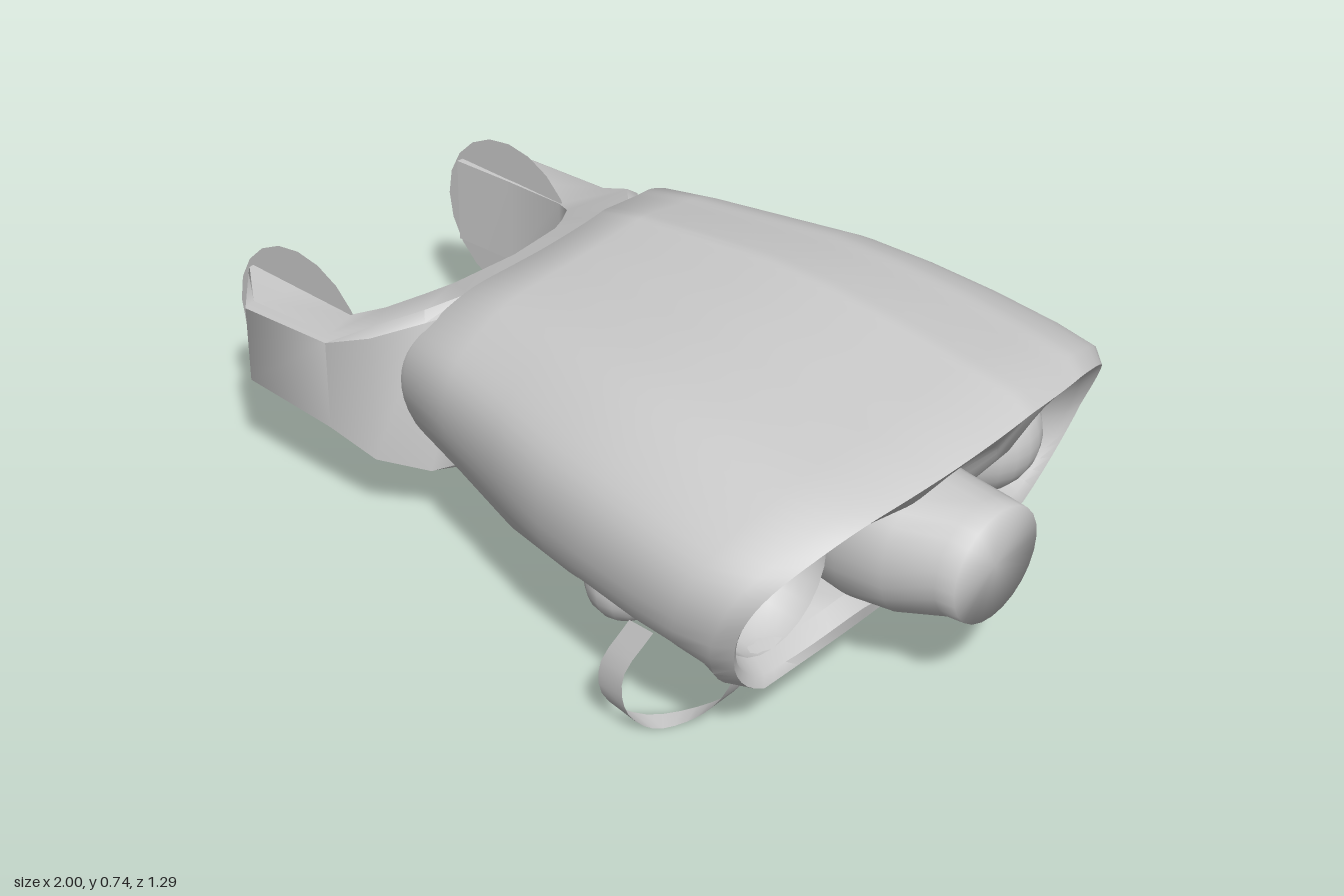
import * as THREE from 'three';
import { toCreasedNormals } from 'three/addons/utils/BufferGeometryUtils.js';

const { smoothstep, mapLinear, clamp } = THREE.MathUtils;
const grey = new THREE.MeshStandardMaterial({ color: 0xcccccc });
const thin = new THREE.MeshStandardMaterial({ color: 0xcccccc, side: THREE.DoubleSide });

function add(group, name, geometry, material = grey, position = [0, 0, 0]) {
  const mesh = new THREE.Mesh(geometry, material);
  mesh.name = name;
  mesh.position.set(...position);
  group.add(mesh);
  return mesh;
}

// Skin a list of closed rings and close both ends with a fan
function loft(rings, crease) {
  const all = [centreRing(rings[0]), ...rings, centreRing(rings[rings.length - 1])];
  const n = rings[0].length, index = [];
  for (let i = 0; i < all.length - 1; i++) {
    for (let j = 0; j < n; j++) {
      const k = (j + 1) % n, a = i * n + j, d = i * n + k;
      index.push(a, a + n, d + n, a, d + n, d);
    }
  }
  const g = new THREE.BufferGeometry().setFromPoints(all.flat());
  g.setIndex(index);
  return toCreasedNormals(g, crease);
}

const centreRing = (ring) => {
  const c = ring.reduce((s, p) => s.add(p), new THREE.Vector3()).divideScalar(ring.length);
  return ring.map(() => c.clone());
};

// Each row pairs a unit outline point of the housing (z, y) with
// the point of the scalloped opening (z, y) it leads to
const profile = [
  [1, .17, .54, .37], [.94, .5, .51, .48], [.78, .73, .44, .55], [.6, .87, .36, .56],
  [.35, .93, .27, .525], [.2, .95, .2, .49], [.05, .97, .08, .525], [-.1, .985, -.05, .525],
  [-.2, .995, -.13, .48], [-.26, 1, -.17, .36], [-.34, .98, -.22, .36], [-.42, .955, -.25, .47],
  [-.55, .91, -.31, .545], [-.68, .86, -.41, .56], [-.92, .6, -.5, .5], [-1, .08, -.54, .39],
  [-.94, -.3, -.51, .29], [-.78, -.67, -.44, .25], [-.52, -.91, -.34, .25], [-.15, -1, -.1, .26],
  [.1, -.965, 0, .215], [.23, -.93, .12, .255], [.56, -.8, .33, .225], [.8, -.62, .45, .24],
  [.95, -.3, .51, .29],
];
const sample = (at) => new THREE.CatmullRomCurve3(
  profile.map((p) => new THREE.Vector3(p[at], p[at + 1], 0)), true).getPoints(100).slice(0, 100);
const outline = sample(0), opening = sample(2);

function housing() {
  // x, lean with height, sweep toward the sides, z range, y of bottom, middle and top, flat floor
  const stations = [
    [-.325, 0, -.09, -.49, .39, .17, .4, .63, 0],
    [-.295, 0, -.075, -.53, .415, .14, .41, .675, 0],
    [-.18, 0, -.03, -.56, .45, .10, .4, .70, 0],
    [.0, 0, 0, -.60, .51, .065, .395, .72, 0],
    [.2, 0, 0, -.64, .57, .04, .39, .74, 0],
    [.36, .02, 0, -.645, .60, .05, .395, .745, 0],
    [.52, .05, 0, -.65, .625, .075, .40, .735, .08],
    [.68, .09, -.03, -.65, .64, .085, .41, .715, .125],
    [.80, .11, -.05, -.635, .63, .07, .415, .70, .155],
    [.85, .11, -.06, -.60, .60, .065, .415, .675, .178],
  ];
  const rings = stations.map(([x, lean, sweep, z0, z1, y0, ym, y1, floor], s) => outline.map((p) => {
    const v = new THREE.Vector3(
      x + lean * p.y + sweep * p.x * p.x,
      Math.max(floor, ym + p.y * (p.y > 0 ? y1 - ym : ym - y0)),
      (z0 + z1) / 2 + p.x * (z1 - z0) / 2);
    // Shallow hollow under the front lower side
    if (s < 8) {
      const w = smoothstep(v.x, .12, .3) * (1 - smoothstep(v.x, .58, .72))
        * smoothstep(v.z, .2, .4) * (1 - smoothstep(v.y, .24, .35));
      v.z -= .07 * w;
      v.y += .01 * w;
    }
    return v;
  }));

  // Lip rolling inward to the scalloped opening, then the recess behind it
  const rim = rings[rings.length - 1];
  const edge = opening.map((p) =>
    new THREE.Vector3(.77 + .32 * (p.y - .4) - .05 * (p.x / .54) ** 2, p.y, p.x));
  const lip = rim.map((p, i) => {
    const v = p.clone().lerp(edge[i], .5);
    v.x += .018;
    return v;
  });
  const back = edge.map((p) => new THREE.Vector3(.5, p.y, p.z));
  return loft([...rings, lip, edge, back], .8);
}

function fork() {
  // Inner x, z and outer x, z, from the middle out to one tip
  const half = [
    [-.42, 0, -.30, 0],
    [-.45, .17, -.31, .25],
    [-.485, .23, -.35, .36],
    [-.54, .305, -.44, .45],
    [-.61, .35, -.56, .478],
    [-.78, .345, -.83, .482],
    [-.95, .335, -.945, .37],
  ];
  const flip = ([a, b, c, d]) => [a, -b, c, -d];
  // The height grows from the arms toward the housing
  const height = (x) => mapLinear(clamp(x, -.6, -.34), -.6, -.34, .113, .235);
  const rings = [...half.slice(1).reverse().map(flip), ...half].map(([xi, zi, xo, zo]) => {
    const at = (t, k) => {
      const x = xi + (xo - xi) * t;
      return new THREE.Vector3(x, .388 + k * height(x), zi + (zo - zi) * t);
    };
    return [at(.85, 1), at(1, .88), at(1, -.88), at(.85, -1), at(0, -1), at(0, 1)];
  });
  return loft(rings, .9);
}

// Thin loop whose width turns from x at one end to z at the other
function strap() {
  const pts = new THREE.CatmullRomCurve3([
    [.52, .31, .59], [.465, .18, .625], [.465, .08, .61], [.5, .012, .54],
    [.56, .02, .46], [.62, .08, .42], [.66, .19, .39],
  ].map((p) => new THREE.Vector3(...p))).getPoints(20);
  const index = [];
  for (let a = 0; a < 40; a += 2) index.push(a, a + 1, a + 3, a, a + 3, a + 2);
  const g = new THREE.BufferGeometry().setFromPoints(pts.flatMap((p, i) => {
    const turn = smoothstep(i, 5, 17);
    const side = new THREE.Vector3(.034 * (1 - turn), 0, .036 * turn);
    return [p.clone().sub(side), p.clone().add(side)];
  }));
  g.setIndex(index);
  g.computeVertexNormals();
  return g;
}

// Blunt barrel with a squared flank, facing +x
function barrel() {
  const stations = [[.5, .15, .14], [.72, .165, .165], [.84, .155, .15], [.95, .15, .14], [1, .145, .136]];
  const rings = stations.map(([x, rz, ry]) => Array.from({ length: 24 }, (_, j) => {
    const a = j / 24 * Math.PI * 2, c = Math.cos(a), s = Math.sin(a);
    const squared = c > 0 && x < .9;
    return new THREE.Vector3(x, .386 + ry * s,
      rz * (squared ? 1.22 : 1) * Math.sign(c) * Math.abs(c) ** (squared ? .5 : 1));
  }));
  return loft(rings, Math.PI);
}

export function createModel() {
  const model = new THREE.Group();
  model.name = 'housingWithFork';

  add(model, 'housing', housing());
  add(model, 'fork', fork());

  // Round plates on the inside of the fork arms
  for (const s of [-1, 1]) {
    add(model, s > 0 ? 'frontPivotPlate' : 'backPivotPlate',
      new THREE.CircleGeometry(.218, 20), thin, [-.782, .385, s * .352]);
  }

  // Parts inside the open end
  add(model, 'middleBarrel', barrel());
  const ball = add(model, 'roundLens', new THREE.SphereGeometry(.155, 24, 16), grey, [.64, .395, -.38]);
  ball.scale.set(1.1, .97, 1);
  const bowl = add(model, 'socket',
    new THREE.SphereGeometry(.17, 24, 10, 0, Math.PI * 2, 0, Math.PI / 2), thin, [.7, .39, .37]);
  bowl.rotation.z = Math.PI / 2;

  // Underside details
  add(model, 'strap', strap(), thin);
  const fin = add(model, 'undersideFin', new THREE.SphereGeometry(.11, 16, 12), grey, [.21, .13, .29]);
  fin.scale.set(.9, 1, 1);

  return model;
}
